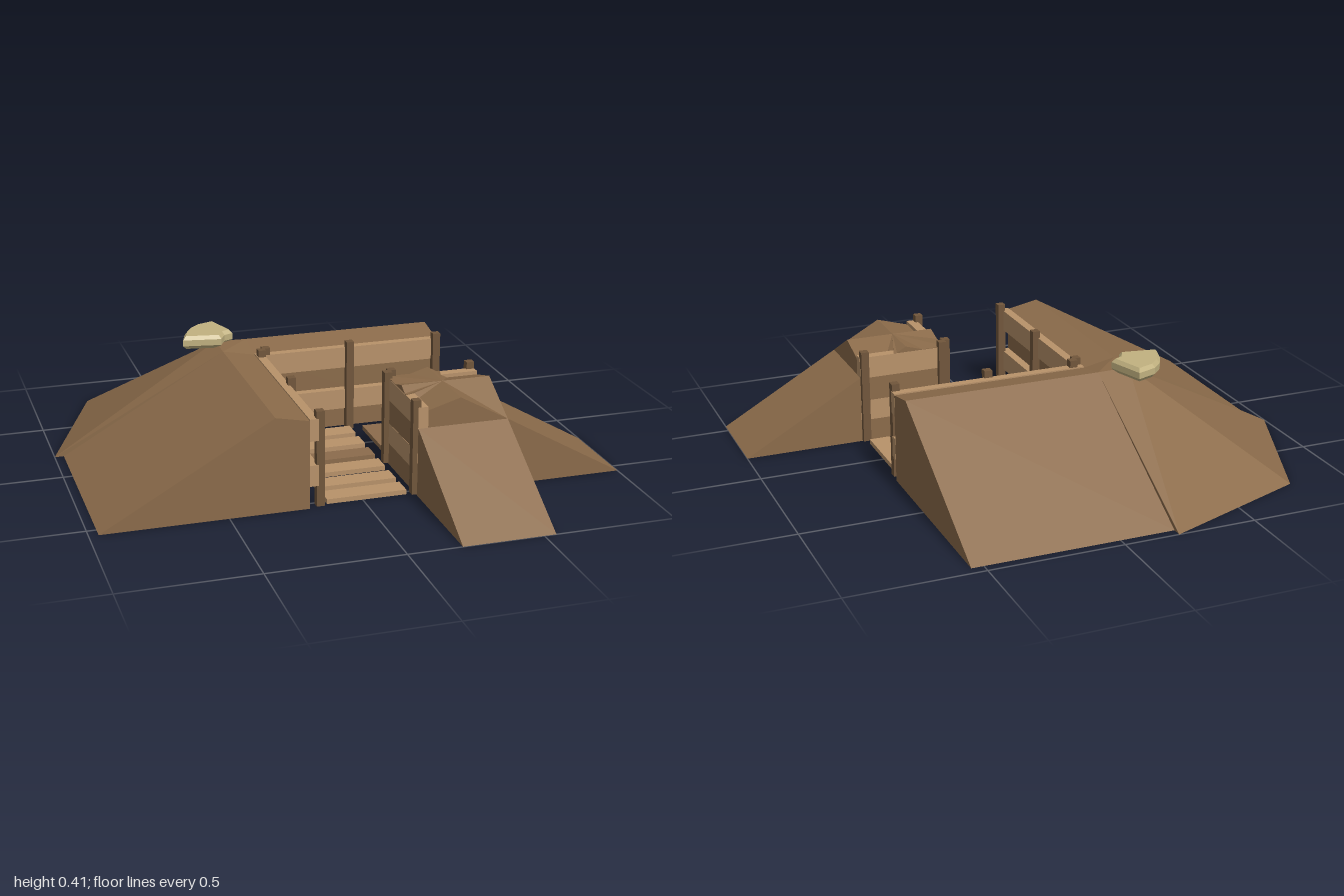
import * as THREE from 'three';

const mat = (name, color) => {
  const m = new THREE.MeshStandardMaterial({ color });
  m.name = name;
  return m;
};

export function createModel() {
  const group = new THREE.Group();
  const dirt = mat('dirt', 0x8b6b4a);
  const grass = mat('grass base', 0x668840);
  const plank = mat('light plank', 0xb8926a);
  const darkPlank = mat('dark plank', 0x8c6c4c);
  const timber = mat('post timber', 0x71563b);
  const canvas = mat('sandbag canvas', 0xc2b280);

  const add = (name, geometry, material) => {
    const mesh = new THREE.Mesh(geometry, material);
    mesh.name = name;
    group.add(mesh);
    return mesh;
  };

  // Box given by its min and max on each axis
  const box = (name, x0, x1, y0, y1, z0, z1, material) =>
    add(name, new THREE.BoxGeometry(x1 - x0, y1 - y0, z1 - z0), material)
      .position.set((x0 + x1) / 2, (y0 + y1) / 2, (z0 + z1) / 2);

  // Faceted earth solid; faces are turned outward, the last face is the grass base
  const solid = (name, points, faces) => {
    const v = points.map((p) => new THREE.Vector3(...p));
    const centre = v.reduce((s, p) => s.add(p), new THREE.Vector3()).divideScalar(v.length);
    const pos = [];
    let baseStart = 0;
    faces.forEach((f, n) => {
      if (n === faces.length - 1) baseStart = pos.length / 3;
      for (let i = 1; i < f.length - 1; i++) {
        const t = [v[f[0]], v[f[i]], v[f[i + 1]]];
        const normal = t[1].clone().sub(t[0]).cross(t[2].clone().sub(t[0]));
        if (normal.dot(t[0].clone().sub(centre)) < 0) t.reverse();
        t.forEach((p) => pos.push(p.x, p.y, p.z));
      }
    });
    const g = new THREE.BufferGeometry();
    g.setAttribute('position', new THREE.Float32BufferAttribute(pos, 3));
    g.computeVertexNormals();
    g.addGroup(0, baseStart, 0);
    g.addGroup(baseStart, pos.length / 3 - baseStart, 1);
    add(name, g, [dirt, grass]);
  };

  // Prism swept from a to b; swap mirrors it across the x = z diagonal
  const prism = (name, profile, a, b, swap) => {
    const n = profile.length;
    const pts = [a, b].flatMap((s) => profile.map(([d, y]) => (swap ? [s, y, d] : [d, y, s])));
    const ring = [...Array(n).keys()];
    const sides = ring.map((i) => [i, (i + 1) % n, n + ((i + 1) % n), n + i]);
    solid(name, pts, [ring, ring.map((i) => i + n), ...sides]);
  };

  // Long banks, outer ramps and the crossing gables of the inner corner
  const bank = [[-0.965, 0], [-0.33, 0.36], [-0.205, 0.335], [-0.205, 0]];
  const ramp = [[0.545, 0], [0.545, 0.26], [1, 0]];
  const gable = [[0.2, 0], [0.2, 0.315], [0.36, 0.362], [0.545, 0.26], [0.545, 0]];
  prism('rightBank', bank, -0.205, 0.545, false);
  prism('backBank', bank, -0.205, 0.545, true);
  for (const swap of [false, true]) {
    prism(swap ? 'frontRamp' : 'leftRamp', ramp, 0.2, 0.545, swap);
    prism('innerCornerGable', gable, 0.2, 0.545, swap);
  }

  // Earth filling the trench side of the inner corner, falling gently from the peak
  const fill = [[0.2, 0.2], [0.41, 0.2], [0.36, 0.36], [0.2, 0.41]];
  solid('innerCornerFill', [
    ...fill.map(([x, z], i) => [x, i === 2 ? 0.362 : 0.342, z]),
    ...fill.map(([x, z]) => [x, 0, z]),
  ], [
    [0, 1, 2], [0, 2, 3], [0, 1, 5, 4], [1, 2, 6, 5], [2, 3, 7, 6], [3, 0, 4, 7], [4, 5, 6, 7],
  ]);

  // Outer corner mound joining the banks
  solid('cornerMound', [
    [-1, 0, -0.205], [-0.775, 0, -0.78], [-0.205, 0, -1], [-0.205, 0, -0.205],
    [-0.33, 0.362, -0.33], [-0.33, 0.36, -0.205], [-0.205, 0.36, -0.33], [-0.205, 0.335, -0.205],
  ], [
    [0, 1, 4], [1, 2, 4], [0, 4, 5], [2, 4, 6], [4, 5, 6], [5, 6, 7],
    [0, 5, 7, 3], [2, 6, 7, 3], [0, 1, 2, 3],
  ]);

  // Two rows of wall boards on each trench side
  for (const [y0, y1] of [[0.085, 0.165], [0.257, 0.34]]) {
    box('rightWallBoard', -0.205, -0.172, y0, y1, -0.205, 0.546, plank);
    box('backWallBoard', -0.172, 0.546, y0, y1, -0.205, -0.172, plank);
    box('innerWallBoard', 0.199, 0.237, y0, y1, 0.199, 0.546, plank);
    box('innerWallBoard', 0.237, 0.546, y0, y1, 0.199, 0.237, plank);
  }

  // Posts holding the boards
  const posts = [
    [-0.165, -0.187], [-0.187, -0.165], [-0.165, 0.17], [-0.165, 0.53], [0.17, -0.165],
    [0.53, -0.165], [0.195, 0.53], [0.195, 0.217], [0.217, 0.195], [0.53, 0.195],
  ];
  const r = 0.015;
  for (const [x, z] of posts) box('post', x - r, x + r, 0.005, 0.367, z - r, z + r, timber);

  // Duckboard floor
  [-0.147, -0.03, 0.09, 0.208, 0.33, 0.445].forEach((z, i) =>
    box('floorBoard', -0.135, 0.167, 0, 0.018, z, z + 0.078, i === 2 ? darkPlank : plank));
  [0.217, 0.335, 0.448].forEach((x, i) =>
    box('floorBoard', x, x + 0.079, 0, 0.018, -0.136, 0.163, i === 0 ? darkPlank : plank));

  // Curved sandbag with chamfered rims, lying on the corner
  const outline = [
    [-0.454, -0.298], [-0.437, -0.35], [-0.412, -0.395], [-0.375, -0.432], [-0.312, -0.455],
    [-0.274, -0.332], [-0.305, -0.318], [-0.327, -0.277],
  ].map(([x, z]) => new THREE.Vector2(x, z));
  const bag = new THREE.ExtrudeGeometry(new THREE.Shape(outline), {
    depth: 0.024, bevelEnabled: true, bevelThickness: 0.014, bevelSize: 0.011, bevelSegments: 1,
  });
  bag.rotateX(Math.PI / 2);
  bag.translate(0, 0.391, 0);
  add('sandbag', bag, canvas);

  return group;
}
